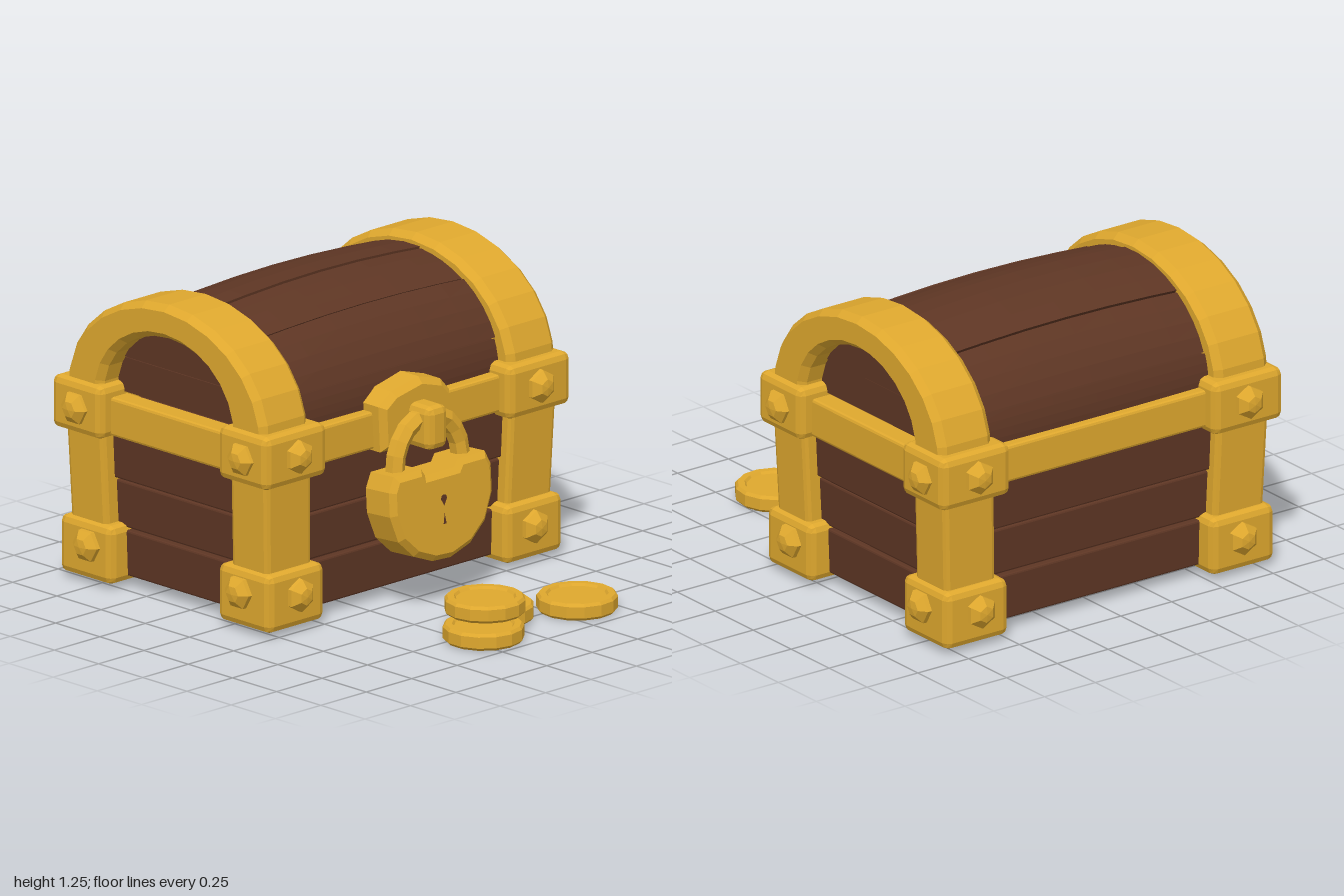
import * as THREE from 'three';
import { RoundedBoxGeometry } from 'three/addons/geometries/RoundedBoxGeometry.js';

const CZ = -0.34;      // chest centre in z
const LID_Y = 0.8;     // spring line of the lid

export function createModel() {
  const model = new THREE.Group();
  model.name = 'treasureChest';
  const gold = new THREE.MeshStandardMaterial({ color: 0xdfa82e });
  gold.name = 'gold';
  const wood = new THREE.MeshStandardMaterial({ color: 0x5e3624 });
  wood.name = 'darkWood';

  const flat = (g) => {
    const f = g.index ? g.toNonIndexed() : g;
    f.computeVertexNormals();
    return f;
  };
  const add = (name, geo, mat, parent = model) => {
    const m = new THREE.Mesh(flat(geo), mat);
    m.name = name;
    parent.add(m);
    return m;
  };
  // chamfered box given by its limits
  const block = (x0, x1, y0, y1, z0, z1, c) =>
    new RoundedBoxGeometry(x1 - x0, y1 - y0, z1 - z0, 1, c)
      .translate((x0 + x1) / 2, (y0 + y1) / 2, (z0 + z1) / 2);
  // move vertices by a rule
  const warp = (geo, rule) => {
    const p = geo.attributes.position, v = new THREE.Vector3();
    for (let i = 0; i < p.count; i++) {
      rule(v.fromBufferAttribute(p, i));
      p.setXYZ(i, v.x, v.y, v.z);
    }
    return geo;
  };
  // the body narrows slightly towards the floor
  const taper = (geo) => warp(geo, (v) => {
    const f = 0.965 + 0.035 * Math.min(1, v.y / 0.65);
    v.x *= f;
    v.z = CZ + (v.z - CZ) * f;
  });
  const poly = (pts) => new THREE.Shape(pts.map(([x, y]) => new THREE.Vector2(x, y)));
  const arc = (a, b, from, to, n) => Array.from({ length: n + 1 }, (_, i) => {
    const t = THREE.MathUtils.degToRad(from + (to - from) * i / n);
    return [a * Math.cos(t), b * Math.sin(t)];
  });
  // extrude a (z, y) section along x, centred on x = 0
  const alongX = (shape, width, opts = {}) =>
    new THREE.ExtrudeGeometry(shape, { depth: width, bevelEnabled: false, ...opts })
      .translate(0, 0, -width / 2).rotateY(-Math.PI / 2).translate(0, LID_Y, CZ);

  // body planks
  [[0.045, 0.235, 0.74, 0.52], [0.243, 0.435, 0.732, 0.51], [0.443, 0.7, 0.742, 0.52]].forEach(([y0, y1, x, z]) =>
    add('bodyPlank', taper(block(-x, x, y0, y1, CZ - z, CZ + z, 0.008)), wood));
  add('bodyCore', taper(new THREE.BoxGeometry(1.42, 0.7, 0.98).translate(0, 0.41, CZ)), wood);

  // lid planks, bulging towards the middle
  const cuts = [-2, 18, 54, 84, 126, 162, 182];
  for (let i = 0; i < 6; i++) {
    const s = i % 2 ? 1 : 0.985;
    const a0 = cuts[i] + 0.4, a1 = cuts[i + 1] - 0.4;
    const section = poly([...arc(0.5 * s, 0.405 * s, a0, a1, 4), ...arc(0.44, 0.35, a1, a0, 4)]);
    add('lidPlank', warp(alongX(section, 1.24, { steps: 6 }), (v) => {
      const b = Math.max(0, 1 - (v.x / 0.6) ** 2);
      v.y = LID_Y + (v.y - LID_Y) * (1 + 0.075 * b);
      v.z = CZ + (v.z - CZ) * (1 + 0.02 * b);
    }), wood);
  }
  add('lidCore', alongX(poly(arc(0.48, 0.385, 0, 180, 16)), 1.38), wood);

  // end boards of the lid
  for (const side of [1, -1]) {
    [[0, 22], [23, 90]].forEach(([a0, a1], i) => {
      const section = poly([...arc(0.45, 0.38, a0, a1, 6), ...arc(0.45, 0.38, 180 - a1, 180 - a0, 6)]);
      add('lidEndBoard', alongX(section, 0.03).translate(side * (0.69 + i * 0.008), 0, 0), wood);
    });
  }

  // arched straps over the lid
  for (const side of [1, -1]) {
    const section = poly([...arc(0.565, 0.45, -4, 184, 14), ...arc(0.37, 0.31, 184, -4, 14)]);
    add('lidStrap', alongX(section, 0.2, {
      bevelEnabled: true, bevelThickness: 0.03, bevelSize: 0.025, bevelOffset: -0.025, bevelSegments: 1,
    }).translate(side * 0.68, 0, 0), gold);
  }

  // band around the rim
  for (const s of [1, -1]) {
    add('rimBandLong', block(-0.7, 0.7, 0.645, 0.8, CZ + s * 0.5 - 0.05, CZ + s * 0.5 + 0.05, 0.012), gold);
    add('rimBandShort', block(s * 0.73 - 0.05, s * 0.73 + 0.05, 0.63, 0.79, CZ - 0.48, CZ + 0.48, 0.012), gold);
  }

  // corner posts, corner caps and studs
  const studProfile = [[0.07, -0.01], [0.068, 0.018], [0.035, 0.045], [0, 0.05]].map(([r, y]) => new THREE.Vector2(r, y));
  const stud = (name, x, y, z, axis, s) => {
    const g = new THREE.LatheGeometry(studProfile, 6);
    if (axis === 'z') g.rotateX(s * Math.PI / 2);
    else g.rotateZ(-s * Math.PI / 2);
    add(name, g.translate(x, y, z), gold);
  };
  for (const sx of [1, -1]) {
    for (const sz of [1, -1]) {
      const corner = (x0, x1, y0, y1, d0, d1, c) => block(
        Math.min(sx * x0, sx * x1), Math.max(sx * x0, sx * x1), y0, y1,
        CZ + Math.min(sz * d0, sz * d1), CZ + Math.max(sz * d0, sz * d1), c);
      add('cornerPost', taper(corner(0.55, 0.8, 0.1, 0.7, 0.36, 0.57, 0.02)), gold);
      add('cornerCapBottom', corner(0.5, 0.81, 0.02, 0.26, 0.3, 0.595, 0.03), gold);
      add('cornerCapTop', corner(0.5, 0.84, 0.62, 0.84, 0.33, 0.61, 0.03), gold);
      stud('studBottom', sx * 0.645, 0.155, CZ + sz * 0.595, 'z', sz);
      stud('studBottom', sx * 0.81, 0.165, CZ + sz * 0.43, 'x', sx);
      stud('studTop', sx * 0.665, 0.735, CZ + sz * 0.61, 'z', sz);
      stud('studTop', sx * 0.835, 0.73, CZ + sz * 0.47, 'x', sx);
    }
  }

  // clasp plate and staple
  const bevel = { bevelEnabled: true, bevelThickness: 0.025, bevelSize: 0.025, bevelOffset: -0.025, bevelSegments: 1 };
  const plate = poly([[-0.19, 0.64], [0.19, 0.64], [0.19, 0.82], [0.14, 0.875], [0.02, 0.91], [-0.13, 0.88], [-0.2, 0.83]]);
  add('claspPlate', new THREE.ExtrudeGeometry(plate, { depth: 0.1, ...bevel }).translate(0, 0, 0.145), gold);
  add('staple', block(-0.055, 0.055, 0.64, 0.82, 0.24, 0.385, 0.03), gold);

  // padlock
  const lock = new THREE.Group();
  lock.name = 'padlock';
  lock.position.set(0, 0.39, 0.33);
  lock.rotation.x = -0.06;
  model.add(lock);
  const body = poly([
    [-0.1, 0.19], [-0.08, 0.16], [0.08, 0.16], [0.1, 0.19], [0.25, 0.19], [0.28, 0.13], [0.28, 0.02],
    [0.235, -0.09], [0.15, -0.165], [0.04, -0.2], [-0.06, -0.195], [-0.16, -0.155], [-0.24, -0.08],
    [-0.28, 0.03], [-0.28, 0.13], [-0.25, 0.19]]);
  body.holes.push(new THREE.Path([
    [-0.035, -0.075], [-0.022, 0.01], [-0.045, 0.05], [-0.03, 0.085], [0, 0.095],
    [0.03, 0.085], [0.045, 0.05], [0.022, 0.01], [0.035, -0.075]].map(([x, y]) => new THREE.Vector2(x, y))));
  add('lockBody', new THREE.ExtrudeGeometry(body, { depth: 0.13, ...bevel, bevelThickness: 0.02 })
    .translate(0, 0, -0.065), gold, lock);
  add('keyhole', new THREE.BoxGeometry(0.2, 0.26, 0.009).translate(0, 0, 0.05), wood, lock);
  add('lockBack', new THREE.BoxGeometry(0.2, 0.26, 0.009).translate(0, 0, -0.078), gold, lock);
  const bow = new THREE.CatmullRomCurve3([
    [-0.175, 0.13], [-0.175, 0.23], [-0.11, 0.34], [0, 0.38], [0.11, 0.34], [0.175, 0.23], [0.175, 0.13],
  ].map(([x, y]) => new THREE.Vector3(x, y, 0)));
  add('shackle', new THREE.TubeGeometry(bow, 12, 0.04, 6, false), gold, lock);

  // loose coins with a raised rim
  const coinProfile = [[0, 0], [0.15, 0], [0.162, 0.012], [0.162, 0.058], [0.152, 0.07], [0.125, 0.07], [0.117, 0.06], [0, 0.06]]
    .map(([r, y]) => new THREE.Vector2(r, y));
  [[-0.195, 0.002, 0.835], [0.025, 0.004, 0.665], [-0.118, 0.082, 0.765], [0.35, 0, 0.805]].forEach(([x, y, z], i) =>
    add('coin', new THREE.LatheGeometry(coinProfile, 14).rotateY(i).translate(x, y, z), gold));

  return model;
}
